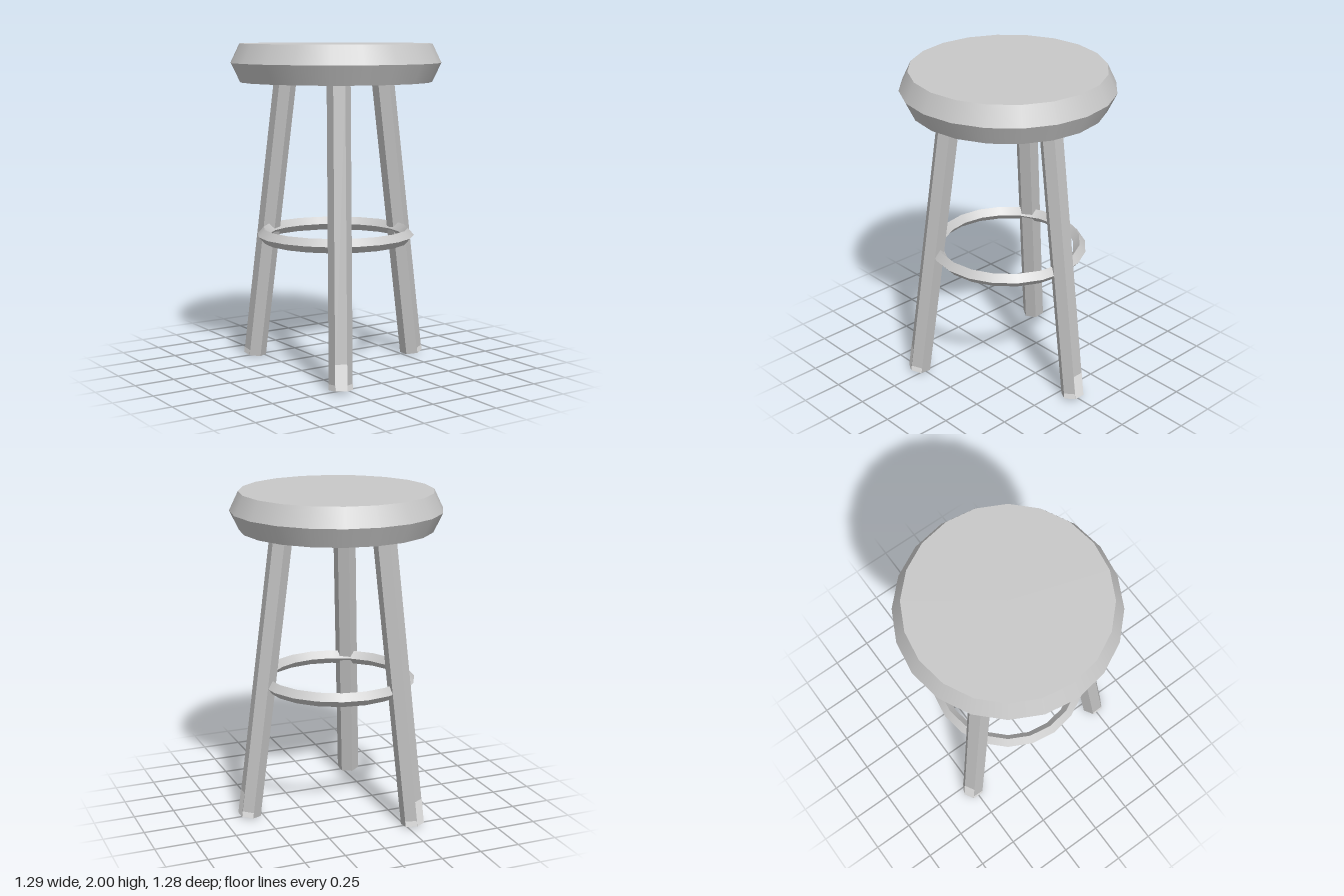
import * as THREE from 'three';
import { mergeGeometries } from 'three/addons/utils/BufferGeometryUtils.js';

const material = (name, color) => {
  const m = new THREE.MeshStandardMaterial({ color });
  m.name = name;
  return m;
};

// Revolved profile: smooth around the axis, sharp between its bands
function turned(profile, segments) {
  const bands = [];
  for (let i = 0; i < profile.length - 1; i++) {
    const pair = [profile[i], profile[i + 1]].map(([r, y]) => new THREE.Vector2(r, y));
    bands.push(new THREE.LatheGeometry(pair, segments));
  }
  return mergeGeometries(bands);
}

export function createModel() {
  const group = new THREE.Group();
  group.name = 'stool';
  const seatGrey = material('seat grey', 0xc8c8c8);
  const legGrey = material('leg grey', 0xc0c0c0);
  const footGrey = material('foot light grey', 0xf0f0f0);

  const add = (parent, name, geometry, mat) => {
    const mesh = new THREE.Mesh(geometry, mat);
    mesh.name = name;
    parent.add(mesh);
    return mesh;
  };

  // Round seat with a ridge halfway up its rim
  add(group, 'seat', turned(
    [[0, 1.77], [0.585, 1.77], [0.64, 1.885], [0.585, 2], [0, 2]], 20), seatGrey);

  // Diamond-section foot ring
  add(group, 'footRing', turned(
    [[0.445, 0.79], [0.483, 0.832], [0.445, 0.875], [0.407, 0.832], [0.445, 0.79]], 20), seatGrey);

  // Three splayed six-sided legs, worn lighter at the foot
  const radius = 0.07, length = 1.775, apothem = radius * Math.cos(Math.PI / 6);
  const legGeometry = new THREE.CylinderGeometry(radius, radius, length, 6).toNonIndexed();
  legGeometry.translate(0, length / 2, 0);
  legGeometry.computeVertexNormals();

  for (let i = 0; i < 3; i++) {
    const turn = new THREE.Group();
    turn.name = 'leg' + (i + 1);
    turn.rotation.y = i * Math.PI * 2 / 3;
    group.add(turn);

    const leg = new THREE.Group();
    leg.name = 'splayedLeg';
    leg.position.set(0.584, 0.01, 0);
    leg.rotation.z = Math.atan2(0.233, 1.76);
    turn.add(leg);
    add(leg, 'legShaft', legGeometry, legGrey);

    // Tall patch on the outer face, short ones beside it
    [[-1, 0.035], [0, 0.155], [1, 0.035]].forEach(([side, height]) => {
      const patch = new THREE.PlaneGeometry(radius, height);
      patch.translate(0, height / 2, apothem + 0.002);
      patch.rotateY(Math.PI / 2 + side * Math.PI / 3);
      add(leg, 'footPatch', patch, footGrey);
    });
  }

  group.position.x = -0.003;
  return group;
}
